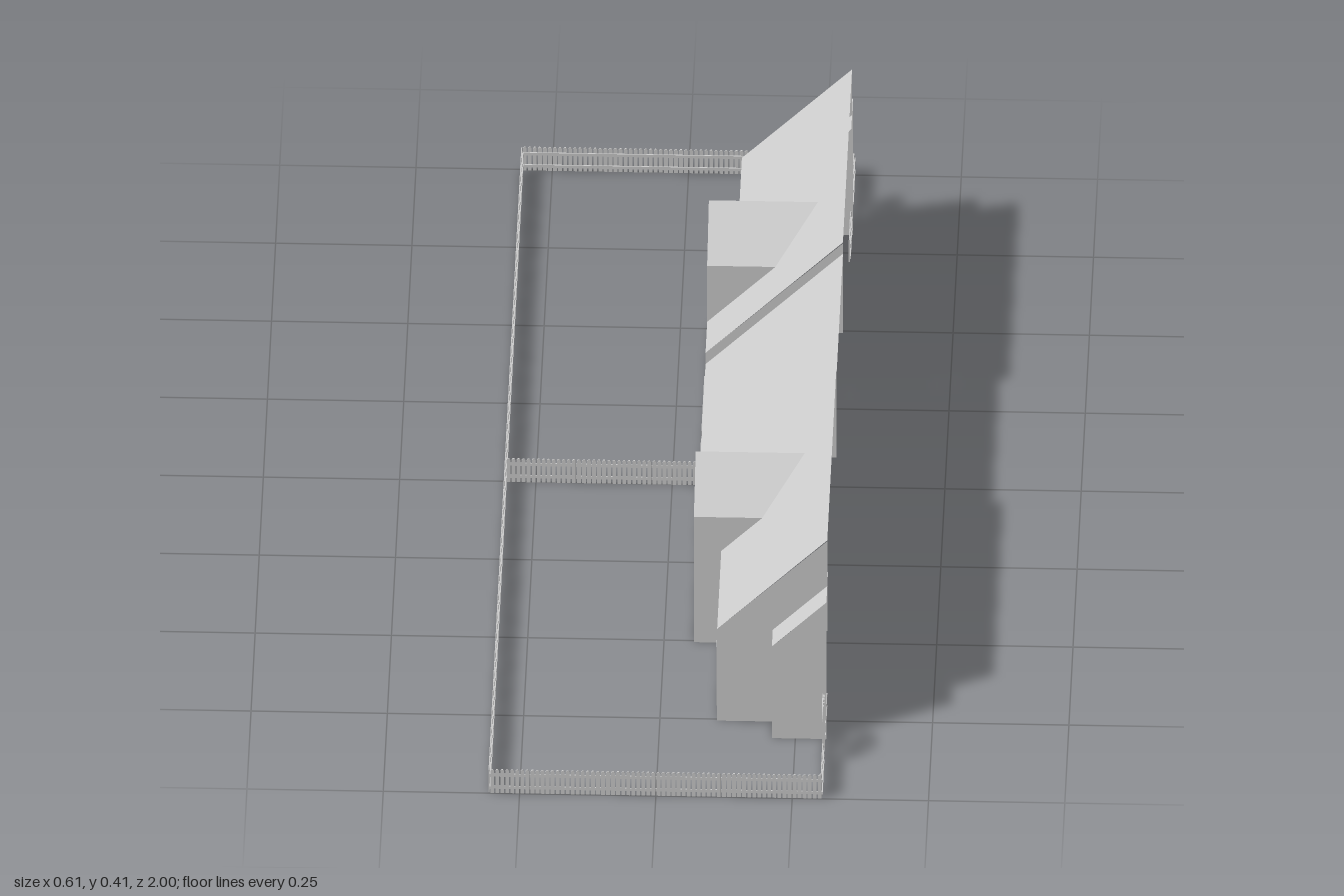
import * as THREE from 'three';
import { mergeGeometries } from 'three/addons/utils/BufferGeometryUtils.js';

const grey = new THREE.MeshStandardMaterial({ color: 0xcccccc, side: THREE.DoubleSide, flatShading: true });
const BACK = 0.307; // open cut side of the houses
const FRONT = 0.055, WING = 0.105, ANNEX = 0.207;

function add(parent, name, geometry) {
  const mesh = new THREE.Mesh(geometry, grey);
  mesh.name = name;
  parent.add(mesh);
  return mesh;
}
const poly = pts => new THREE.Shape(pts.map(p => new THREE.Vector2(...p)));
const rect = (a, b, c, d) => poly([[a, c], [b, c], [b, d], [a, d]]);

// rectangle with a half-round head
function arch(a, b, y0, y1) {
  const r = (b - a) / 2, s = new THREE.Shape();
  s.moveTo(a, y0);
  s.lineTo(b, y0);
  s.lineTo(b, y1 - r);
  s.absarc((a + b) / 2, y1 - r, r, 0, Math.PI, false);
  s.closePath();
  return s;
}

// flat convex sheet through 3D corners
function sheet(parent, name, corners) {
  const g = new THREE.BufferGeometry();
  g.setAttribute('position', new THREE.Float32BufferAttribute(corners.flat(), 3));
  const index = [];
  for (let i = 1; i < corners.length - 1; i++) index.push(0, i, i + 1);
  g.setIndex(index);
  g.computeVertexNormals();
  add(parent, name, g);
}

// cross wall given in x, y
function crossWall(parent, name, z, pts) {
  add(parent, name, new THREE.ShapeGeometry(poly(pts))).position.z = z;
}

// shape given in z, y, placed on a facade facing -x; depth > 0 stands proud
function onFacade(parent, name, x, shape, depth = 0) {
  const g = depth
    ? new THREE.ExtrudeGeometry(shape, { depth, bevelEnabled: false, curveSegments: 8 })
    : new THREE.ShapeGeometry(shape, 8);
  const m = add(parent, name, g);
  m.rotation.y = -Math.PI / 2;
  m.position.x = x;
}
function frame(parent, name, x, outer, inner) {
  outer.holes.push(inner);
  onFacade(parent, name, x, outer, 0.002);
}

// 45 degree roof slope y = x + rise
function roof(parent, name, z0, z1, x0, rise) {
  sheet(parent, name, [[x0, x0 + rise, z0], [x0, x0 + rise, z1],
    [BACK, BACK + rise, z1], [BACK, BACK + rise, z0]]);
}

function fenceRun(parent, name, x0, z0, x1, z1) {
  const len = Math.hypot(x1 - x0, z1 - z0), n = Math.round(len / 0.0092), step = len / n;
  const s = new THREE.Shape();
  s.moveTo(-0.0034, 0);
  s.lineTo(0.0034, 0);
  s.lineTo(0.0034, 0.049);
  s.lineTo(0.0015, 0.052);
  s.lineTo(-0.0015, 0.052);
  s.lineTo(-0.0034, 0.049);
  const picket = new THREE.ExtrudeGeometry(s, { depth: 0.002, bevelEnabled: false }).toNonIndexed();
  const parts = [];
  for (let i = 0; i < n; i++) parts.push(picket.clone().translate((i + 0.5) * step, 0, 0));
  for (const y of [0.011, 0.038])
    parts.push(new THREE.BoxGeometry(len, 0.006, 0.002).toNonIndexed().translate(len / 2, y, -0.001));
  const m = add(parent, name, mergeGeometries(parts));
  m.position.set(x0, 0, z0);
  m.rotation.y = -Math.atan2(z1 - z0, x1 - x0);
}

function buildGate() {
  const gate = new THREE.Group();
  gate.name = 'gardenGate';
  const x = 0.303, a = 0.825, b = 0.892;
  frame(gate, 'gateFrame', x, arch(a, b, 0, 0.13), arch(a + 0.007, b - 0.007, 0.006, 0.123));
  for (const y of [0.01, 0.085]) onFacade(gate, 'gateRail', x, rect(a, b, y, y + 0.007), 0.002);
  onFacade(gate, 'gateBrace', x, poly([[a + 0.004, 0.014], [a + 0.011, 0.014], [b - 0.004, 0.087], [b - 0.011, 0.087]]), 0.002);
  for (let i = 1; i < 6; i++) {
    const z = a + i * (b - a) / 6;
    onFacade(gate, 'gateSlat', x + 0.002, rect(z - 0.003, z + 0.003, 0.005, i % 5 === 1 ? 0.115 : 0.125), 0.002);
  }
  return gate;
}

function buildHouse() {
  const house = new THREE.Group();
  house.name = 'house';

  // garage bay beside the party line
  onFacade(house, 'garageWall', FRONT, rect(0, 0.2, 0, 0.13));
  roof(house, 'garageRoof', 0, 0.2, FRONT, 0.075);
  frame(house, 'garageFrame', FRONT, rect(0.012, 0.188, 0, 0.112), rect(0.018, 0.182, 0.0005, 0.106));
  for (let i = 0; i < 4; i++)
    onFacade(house, 'garagePanel', FRONT, rect(0.02, 0.18, 0.003 + i * 0.026, 0.026 + i * 0.026), 0.001);
  crossWall(house, 'innerGable', 0.2, [[FRONT, 0.13], [FRONT, 0.155], [BACK, 0.405], [BACK, 0.205], [0.13, 0.205]]);

  // entrance bay with recessed porch
  const entry = rect(0.2, 0.3, 0, 0.155);
  entry.holes.push(arch(0.212, 0.288, 0.0005, 0.11));
  onFacade(house, 'entranceWall', FRONT, entry);
  const porch = arch(0.208, 0.292, 0, 0.112);
  porch.holes.push(arch(0.212, 0.288, 0.0005, 0.11));
  onFacade(house, 'porchLining', FRONT + 0.04, porch, 0.039);
  onFacade(house, 'frontDoor', FRONT + 0.04, arch(0.212, 0.288, 0, 0.11));

  // gabled tower
  onFacade(house, 'towerWall', FRONT, poly([[0.3, 0], [0.505, 0], [0.505, 0.28], [0.4025, 0.355], [0.3, 0.28]]));
  crossWall(house, 'towerInnerSide', 0.3, [[FRONT, 0.155], [0.18, 0.28], [FRONT, 0.28]]);
  crossWall(house, 'towerOuterSide', 0.505, [[FRONT, 0], [WING, 0], [WING, 0.205], [0.18, 0.28], [FRONT, 0.28]]);
  for (const z of [0.3, 0.505])
    sheet(house, 'towerRoof', [[FRONT, 0.28, z], [FRONT, 0.355, 0.4025], [0.255, 0.355, 0.4025], [0.18, 0.28, z]]);
  frame(house, 'towerWindow', FRONT, arch(0.365, 0.44, 0.16, 0.258), arch(0.371, 0.434, 0.166, 0.252));
  onFacade(house, 'windowMullion', FRONT, rect(0.401, 0.404, 0.166, 0.252), 0.0015);
  frame(house, 'lowerWindow', FRONT, rect(0.36, 0.445, 0.03, 0.11), rect(0.366, 0.439, 0.036, 0.104));

  // wing with wide window
  onFacade(house, 'wingWall', WING, rect(0.505, 0.755, 0, 0.205));
  frame(house, 'wingWindow', WING, rect(0.545, 0.735, 0.02, 0.15), rect(0.552, 0.728, 0.027, 0.143));
  crossWall(house, 'wingEndWall', 0.755, [[WING, 0], [ANNEX, 0], [ANNEX, 0.205], [BACK, 0.205], [BACK, 0.405], [WING, 0.205]]);

  // main roof, starting further back behind the tower
  roof(house, 'mainRoof', 0.2, 0.3, FRONT, 0.1);
  roof(house, 'mainRoof', 0.3, 0.505, 0.12, 0.1);
  roof(house, 'mainRoof', 0.505, 0.755, WING, 0.1);

  // low annex at the end
  onFacade(house, 'annexWall', ANNEX, rect(0.755, 0.808, 0, 0.205));
  crossWall(house, 'annexEndWall', 0.808, [[ANNEX, 0], [BACK, 0], [BACK, 0.304], [ANNEX, 0.205]]);
  roof(house, 'annexRoof', 0.71, 0.808, ANNEX, -0.002);

  // side fence and gate
  house.add(buildGate());
  fenceRun(house, 'sideFence', -0.305, 0.997, 0.305, 0.997);
  fenceRun(house, 'backFence', 0.304, 0.72, 0.304, 0.823);
  fenceRun(house, 'backFence', 0.304, 0.894, 0.304, 0.998);
  return house;
}

export function createModel() {
  const model = new THREE.Group();
  model.name = 'pairedHouses';
  const house = buildHouse();
  const mirrored = house.clone();
  mirrored.name = 'mirroredHouse';
  mirrored.scale.z = -1;
  model.add(house, mirrored);

  // shared fences
  fenceRun(model, 'longFence', -0.305, -0.998, -0.305, 0.998);
  fenceRun(model, 'dividingFence', -0.305, 0, FRONT, 0);
  return model;
}
